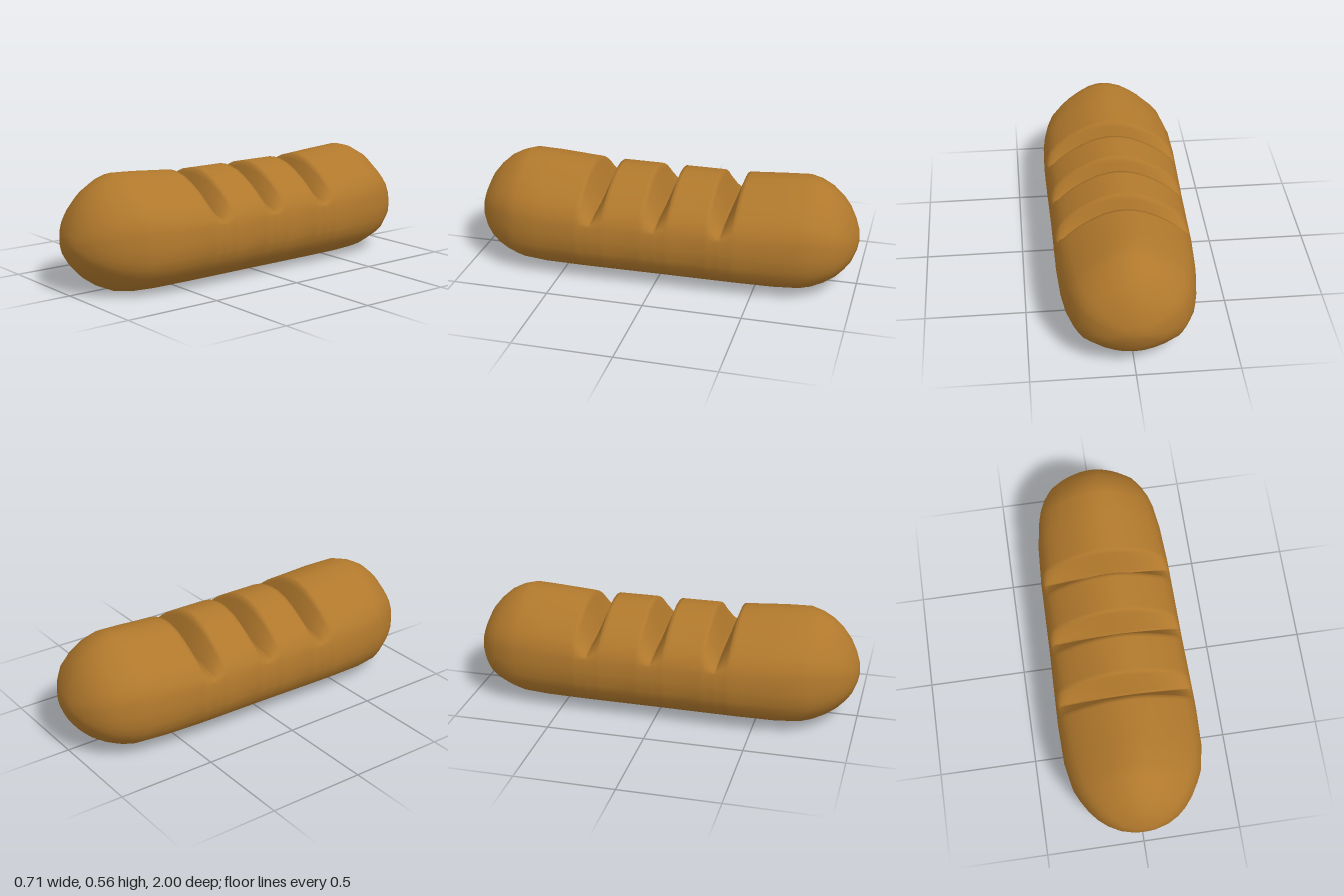
import * as THREE from 'three';
import { mergeVertices } from 'three/addons/utils/BufferGeometryUtils.js';

// Half cross-section from bottom to top: x as a share of the half width,
// y as a share of the height above (+) or below (-) the widest line
const HALF = [
  [0, -1], [0.2, -0.98], [0.39, -0.91], [0.59, -0.8], [0.71, -0.7], [0.865, -0.57],
  [0.935, -0.41], [0.99, -0.24], [1, 0], [0.977, 0.235], [0.935, 0.34], [0.895, 0.44],
  [0.83, 0.52], [0.768, 0.595], [0.69, 0.665], [0.615, 0.735], [0.46, 0.845],
  [0.293, 0.94], [0.12, 0.99], [0, 1],
];
const SECTION = [...HALF, ...HALF.slice(1, -1).reverse().map(([x, y]) => [-x, y])];

// Loaf outline from front to back: z, half width, top, bottom (clipped at the ground)
const MID = 0.245;
const OUTLINE = [
  [1, 0, MID, MID], [0.992, 0.065, 0.3, 0.2], [0.97, 0.13, 0.36, 0.14], [0.94, 0.18, 0.42, 0.1],
  [0.9, 0.225, 0.47, 0.06], [0.85, 0.265, 0.515, 0.025], [0.79, 0.3, 0.547, -0.004],
  [0.73, 0.328, 0.564, -0.02], [0.6, 0.352, 0.557, -0.025], [0.4, 0.357, 0.541, -0.025],
  [0.25, 0.354, 0.535, -0.025], [0, 0.348, 0.535, -0.025], [-0.4, 0.343, 0.535, -0.025],
  [-0.6, 0.332, 0.552, -0.025], [-0.73, 0.314, 0.562, -0.02], [-0.79, 0.298, 0.547, -0.004],
  [-0.85, 0.272, 0.515, 0.025], [-0.9, 0.24, 0.47, 0.06], [-0.94, 0.19, 0.42, 0.1],
  [-0.97, 0.135, 0.36, 0.14], [-0.992, 0.07, 0.3, 0.2], [-1, 0, MID, MID],
];

// Scored cuts across the top
const CUTS = [0.32, -0.012, -0.346];
const CUT_HALF = 0.066, CUT_BASE = 0.315, CUT_FLOOR = 0.36;

function outlineAt(z) {
  let i = 1;
  while (i < OUTLINE.length - 1 && OUTLINE[i][0] > z) i++;
  const a = OUTLINE[i - 1], b = OUTLINE[i];
  const t = (a[0] - z) / (a[0] - b[0]);
  return a.map((v, k) => v + (b[k] - v) * t);
}

// Depth of the cut at z: 0 outside, 1 at the bottom of the V
function cutDepth(z) {
  return Math.max(0, ...CUTS.map((c) => 1 - Math.abs(z - c) / CUT_HALF));
}

function loafGeometry() {
  const stations = OUTLINE.map((o) => o[0])
    .filter((z) => CUTS.every((c) => Math.abs(z - c) > CUT_HALF + 0.015));
  for (const c of CUTS) {
    for (const f of [-1.25, -1, -0.85, -0.5, -0.12, 0, 0.12, 0.5, 0.85, 1, 1.25]) {
      stations.push(c + f * CUT_HALF);
    }
  }
  stations.sort((a, b) => b - a);

  const positions = [], indices = [], n = SECTION.length;
  stations.forEach((z, i) => {
    const [, width, top, bottom] = outlineAt(z);
    const depth = cutDepth(z);
    for (const [sx, sy] of SECTION) {
      let y = MID + sy * (sy > 0 ? top - MID : MID - bottom);
      // Press the crown down inside a cut, fading out at the sides
      if (y > CUT_BASE) {
        const squash = (CUT_FLOOR - CUT_BASE) / (top - CUT_BASE);
        y = CUT_BASE + (y - CUT_BASE) * (1 - depth * (1 - squash));
      }
      positions.push(sx * width, Math.max(0, y), z);
    }
    if (i === stations.length - 1) return;
    for (let j = 0; j < n; j++) {
      const k = (j + 1) % n;
      const a = i * n + j, d = i * n + k;
      indices.push(a, a + n, d + n, a, d + n, d);
    }
  });

  let geometry = new THREE.BufferGeometry();
  geometry.setAttribute('position', new THREE.Float32BufferAttribute(positions, 3));
  geometry.setIndex(indices);
  geometry = mergeVertices(geometry, 1e-5); // closes the two end tips
  geometry.computeVertexNormals();
  return geometry;
}

export function createModel() {
  const group = new THREE.Group();
  group.name = 'breadLoaf';
  const crust = new THREE.MeshStandardMaterial({ color: 0xb0782c });
  const loaf = new THREE.Mesh(loafGeometry(), crust);
  loaf.name = 'scoredLoaf';
  group.add(loaf);
  return group;
}
